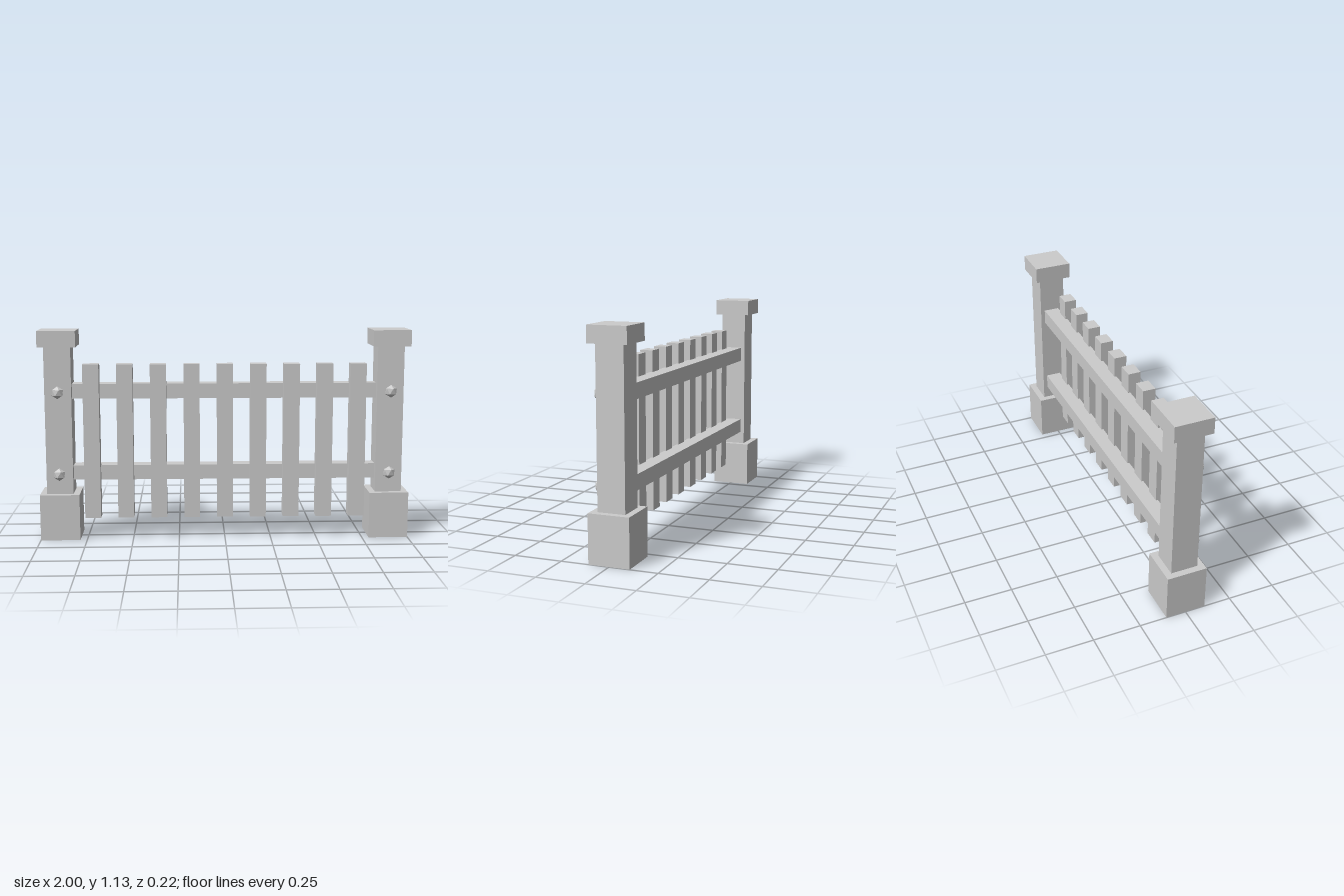
import * as THREE from 'three';
import { ConvexGeometry } from 'three/addons/geometries/ConvexGeometry.js';

export function createModel() {
  const fence = new THREE.Group();
  fence.name = 'fence';
  const grey = new THREE.MeshStandardMaterial({ color: 0xcccccc });
  grey.name = 'plain grey';

  const add = (parent, name, geometry, x, y, z) => {
    const mesh = new THREE.Mesh(geometry, grey);
    mesh.name = name;
    mesh.position.set(x, y, z);
    parent.add(mesh);
    return mesh;
  };
  // box placed by its bottom and top heights
  const box = (parent, name, w, d, y0, y1, x, z) =>
    add(parent, name, new THREE.BoxGeometry(w, y1 - y0, d), x, (y0 + y1) / 2, z);

  // twenty-sided bolt head: two poles and two staggered rings, flattened in depth
  const r = 0.0345;
  const points = [new THREE.Vector3(0, r, 0), new THREE.Vector3(0, -r, 0)];
  for (let i = 0; i < 5; i++) {
    const a = (i * 2 * Math.PI) / 5;
    const x = Math.cos(a) * 0.894 * r, z = Math.sin(a) * 0.894 * r * 0.64;
    points.push(new THREE.Vector3(x, 0.447 * r, z), new THREE.Vector3(-x, -0.447 * r, z));
  }
  const boltGeometry = new ConvexGeometry(points);

  // posts with footing, cap and two bolts
  for (const [side, s] of [['left', 1], ['right', -1]]) {
    const post = new THREE.Group();
    post.name = side + 'Post';
    post.position.x = s * 0.893;
    box(post, 'footing', 0.213, 0.213, 0, 0.25, 0, 0);
    box(post, 'shaft', 0.143, 0.143, 0.25, 1.047, 0, 0);
    box(post, 'cap', 0.203, 0.203, 1.047, 1.133, 0, 0);
    for (const y of [0.36, 0.805]) add(post, 'bolt', boltGeometry, 0, y, 0.09);
    fence.add(post);
  }

  // horizontal rails
  box(fence, 'lowerRail', 1.65, 0.084, 0.32, 0.4, 0, -0.007);
  box(fence, 'upperRail', 1.65, 0.084, 0.765, 0.845, 0, -0.007);

  // nine pickets on the front of the rails
  for (let i = -4; i <= 4; i++) {
    box(fence, 'picket', 0.086, 0.068, 0.12, 0.955, i * 0.179, 0.058);
  }
  return fence;
}
